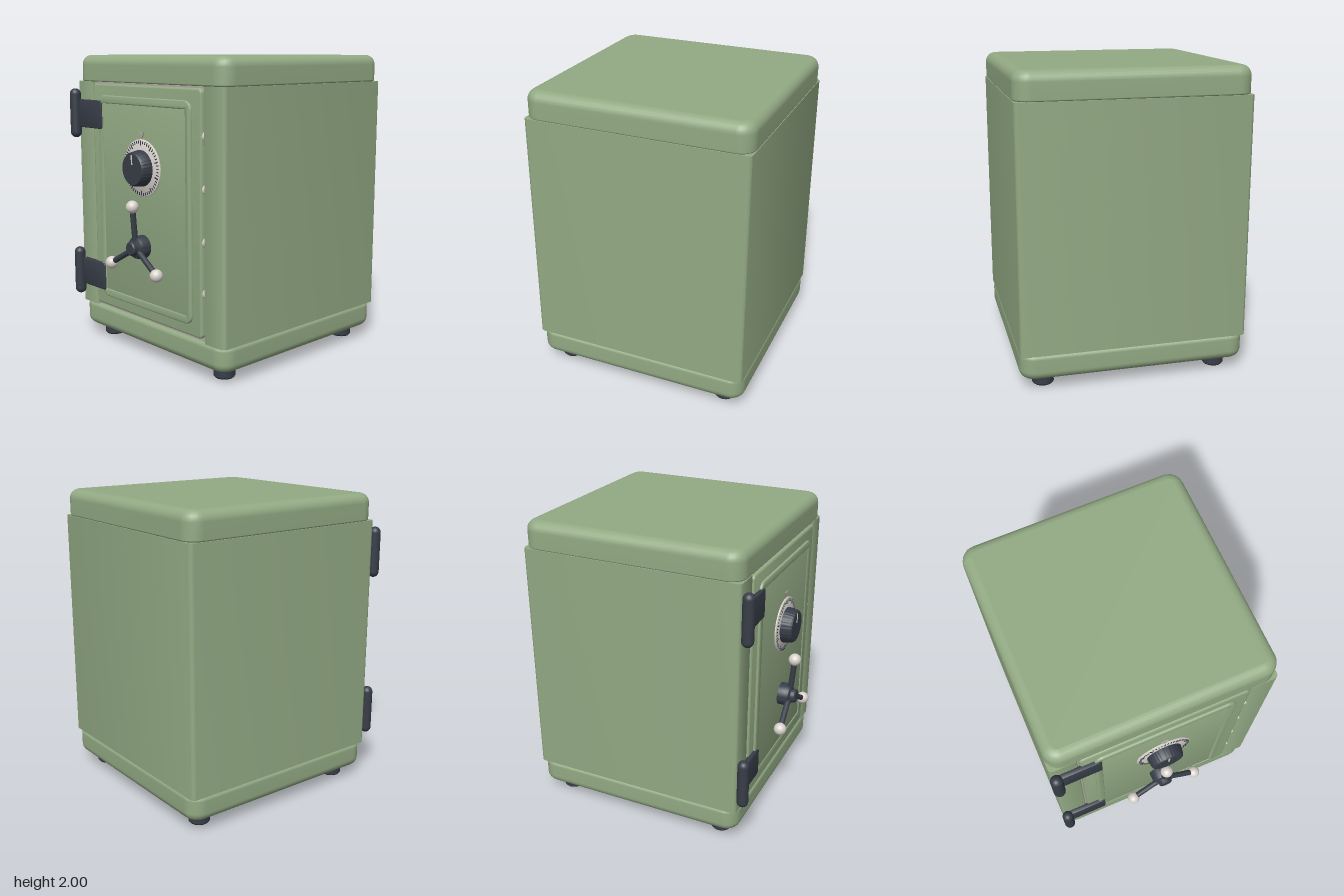
import * as THREE from 'three';
import { toCreasedNormals } from 'three/addons/utils/BufferGeometryUtils.js';
import { RoundedBoxGeometry } from 'three/addons/geometries/RoundedBoxGeometry.js';

const mat = (name, color) => {
  const m = new THREE.MeshStandardMaterial({ color });
  m.name = name;
  return m;
};

// Rounded rectangle, as a Shape or as a hole Path
function roundRect(cx, cy, w, h, r, Type = THREE.Shape) {
  const p = new Type(), x = w / 2 - r, y = h / 2 - r;
  p.absarc(cx + x, cy + y, r, 0, Math.PI / 2);
  p.absarc(cx - x, cy + y, r, Math.PI / 2, Math.PI);
  p.absarc(cx - x, cy - y, r, Math.PI, Math.PI * 1.5);
  p.absarc(cx + x, cy - y, r, Math.PI * 1.5, Math.PI * 2);
  p.closePath();
  return p;
}

// Horizontal slab with rounded vertical corners and different top and bottom edge radii
function slab(half, cz, y0, y1, corner, rBottom, rTop) {
  const profile = [], n = 7, steps = 6;
  for (let k = 0; k <= steps; k++) {
    const a = (k / steps) * Math.PI / 2;
    profile.push([rBottom * (1 - Math.sin(a)), y0 + rBottom * (1 - Math.cos(a))]);
  }
  for (let k = 0; k <= steps; k++) {
    const a = (k / steps) * Math.PI / 2;
    profile.push([rTop * (1 - Math.cos(a)), y1 - rTop * (1 - Math.sin(a))]);
  }
  // the end rings are repeated so that the flat caps stay flat
  const rings = [profile[0], ...profile, profile[profile.length - 1]];
  const pos = [], idx = [], count = 4 * n;
  for (const [inset, y] of rings) {
    for (let j = 0; j < count; j++) {
      const q = Math.floor(j / n), a = (q + (j % n) / (n - 1)) * Math.PI / 2;
      const sx = q === 0 || q === 3 ? 1 : -1, sz = q < 2 ? -1 : 1, r = corner - inset;
      pos.push(sx * (half - corner) + r * Math.cos(a), y, cz + sz * (half - corner) - r * Math.sin(a));
    }
  }
  for (let i = 1; i < rings.length - 2; i++) {
    for (let j = 0; j < count; j++) {
      const a = i * count + j, b = i * count + (j + 1) % count;
      idx.push(a, b, b + count, a, b + count, a + count);
    }
  }
  const top = (rings.length - 1) * count;
  for (let j = 1; j < count - 1; j++) idx.push(top, top + j, top + j + 1, 0, j + 1, j);
  const g = new THREE.BufferGeometry();
  g.setAttribute('position', new THREE.Float32BufferAttribute(pos, 3));
  g.setIndex(idx);
  g.computeVertexNormals();
  return g;
}

// Turned part whose axis points to the front
const turned = (pts, segments = 48) => toCreasedNormals(
  new THREE.LatheGeometry(pts.map(p => new THREE.Vector2(...p)), segments).rotateX(Math.PI / 2), 0.6);

// Plate lying in the front plane from z0 to z1, with a softened edge
function plate(shape, z0, z1, bevel) {
  const g = new THREE.ExtrudeGeometry(shape, {
    depth: z1 - z0 - 2 * bevel, bevelEnabled: bevel > 0, bevelSize: bevel,
    bevelThickness: bevel, bevelOffset: -bevel, bevelSegments: 4, curveSegments: 8,
  });
  return toCreasedNormals(g.translate(0, 0, z0 + bevel), 0.6);
}

export function createModel() {
  const green = mat('sage green', 0x93aa84);
  const dark = mat('dark slate', 0x373d48);
  const ivory = mat('ivory', 0xd8d2cb);
  const steel = mat('steel', 0xb3aaa3);

  const safe = new THREE.Group();
  safe.name = 'safe';
  safe.position.x = 0.004;
  const add = (name, geometry, material, x = 0, y = 0, z = 0, parent = safe) => {
    const m = new THREE.Mesh(geometry, material);
    m.name = name;
    m.position.set(x, y, z);
    parent.add(m);
    return m;
  };
  const group = (name, x = 0, y = 0, z = 0) => {
    const g = new THREE.Group();
    g.name = name;
    g.position.set(x, y, z);
    safe.add(g);
    return g;
  };

  // Cabinet: U-shaped plan with a door recess at the front
  const H = 0.741, CZ = -0.073, R = 0.03, front = CZ + H, s = 0.012;
  const plan = new THREE.Shape();
  plan.absarc(H - R, -CZ + H - R, R, 0, Math.PI / 2);
  plan.absarc(-H + R, -CZ + H - R, R, Math.PI / 2, Math.PI);
  plan.absarc(-H + R, -front + R, R, Math.PI, Math.PI * 1.5);
  plan.absarc(-0.565 - s, -front + s, s, Math.PI * 1.5, Math.PI * 2);
  plan.lineTo(-0.565, -0.6);
  plan.lineTo(0.565, -0.6);
  plan.absarc(0.565 + s, -front + s, s, Math.PI, Math.PI * 1.5);
  plan.absarc(H - R, -front + R, R, Math.PI * 1.5, Math.PI * 2);
  const cabinet = new THREE.ExtrudeGeometry(plan, { depth: 1.575, bevelEnabled: false, curveSegments: 8 });
  add('cabinet', toCreasedNormals(cabinet.rotateX(-Math.PI / 2), 0.6), green, 0, 0.247, 0);
  add('topCap', slab(H, CZ, 1.822, 2, 0.1, 0.01, 0.065), green);
  add('base', slab(H, CZ, 0.078, 0.25, 0.1, 0.06, 0.03), green);

  // Feet
  for (const x of [-0.58, 0.58]) for (const z of [0.51, -0.655]) {
    const foot = new THREE.LatheGeometry([[0, 0], [0.062, 0], [0.07, 0.01], [0.07, 0.09]]
      .map(p => new THREE.Vector2(...p)), 28);
    add('foot', toCreasedNormals(foot, 0.6), dark, x, 0, z);
  }

  // Door with its liner, raised border and locking bolts
  add('doorLiner', new THREE.BoxGeometry(1.13, 1.57, 0.05), steel, 0, 1.035, 0.62);
  add('door', plate(roundRect(0, 1.04, 1.106, 1.54, 0.03), 0.62, 0.675, 0.014), green);
  const border = roundRect(0, 1.04, 0.94, 1.39, 0.06);
  border.holes.push(roundRect(0, 1.04, 0.838, 1.284, 0.004, THREE.Path));
  add('doorBorder', plate(border, 0.66, 0.69, 0.008), green);
  add('doorPanel', plate(roundRect(0, 1.04, 0.846, 1.29, 0.004), 0.66, 0.685, 0.003), green);
  for (const y of [0.56, 0.88, 1.205, 1.525]) {
    add('lockBolt', new THREE.CylinderGeometry(0.034, 0.034, 0.05, 20).rotateZ(Math.PI / 2), ivory, 0.545, y, 0.635);
  }

  // Hinges
  for (const y of [0.478, 1.602]) {
    const hinge = group('hinge', 0, y, 0);
    add('hingePin', new THREE.CapsuleGeometry(0.038, 0.264, 8, 24), dark, -0.716, 0, 0.706, hinge);
    add('hingeLeaf', plate(roundRect(-0.56, 0, 0.27, 0.19, 0.02), 0.665, 0.7, 0.006), dark, 0, 0, 0, hinge);
  }

  // Combination dial
  const dial = group('dial', 0, 1.285, 0.685);
  add('dialRing', turned([[0, 0], [0.186, 0], [0.186, 0.007], [0.18, 0.011], [0, 0.011]], 64), ivory, 0, 0, 0, dial);
  for (let i = 0; i < 50; i++) {
    const len = i % 5 ? 0.02 : 0.032, a = (i / 50) * Math.PI * 2, r = 0.178 - len / 2;
    const tick = add('dialTick', new THREE.BoxGeometry(i % 5 ? 0.006 : 0.008, len, 0.004), dark,
      r * Math.sin(a), r * Math.cos(a), 0.0115, dial);
    tick.rotation.z = -a;
  }
  const knob = new THREE.LatheGeometry([[0.117, 0], [0.117, 0.02], [0.108, 0.075], [0.1, 0.086], [0, 0.086]]
    .map(p => new THREE.Vector2(...p)), 128).rotateX(Math.PI / 2);
  const kp = knob.attributes.position;
  for (let i = 0; i < kp.count; i++) {
    // finger ridges around the rim
    const x = kp.getX(i), y = kp.getY(i);
    if (Math.hypot(x, y) < 0.104) continue;
    const f = 1 + 0.012 * Math.cos(32 * Math.atan2(y, x));
    kp.setXY(i, x * f, y * f);
  }
  add('dialKnob', toCreasedNormals(knob, 0.6), dark, 0, 0, 0, dial);
  add('knobMark', new THREE.BoxGeometry(0.011, 0.065, 0.006), ivory, 0, 0.06, 0.086, dial);
  const arrow = new THREE.Shape([[-0.024, 0.018], [0, -0.022], [0.024, 0.018]].map(p => new THREE.Vector2(...p)));
  add('dialPointer', plate(arrow, 0, 0.008, 0), steel, 0, 0.212, -0.002, dial);

  // Three-spoke handle
  const handle = group('handle', 0, 0.77, 0.683);
  add('handleHub', turned([[0.076, 0], [0.076, 0.055], [0.068, 0.075], [0.048, 0.085], [0.046, 0.11], [0.038, 0.118], [0, 0.118]]),
    dark, 0, 0, 0, handle);
  for (let i = 0; i < 3; i++) {
    const spoke = new THREE.Group();
    spoke.name = 'handleSpoke';
    spoke.rotation.z = (i / 3) * Math.PI * 2;
    handle.add(spoke);
    const path = new THREE.LineCurve3(new THREE.Vector3(0, 0.03, 0.07), new THREE.Vector3(0, 0.27, 0.09));
    add('spokeRod', new THREE.TubeGeometry(path, 1, 0.019, 16), dark, 0, 0, 0, spoke);
    add('spokeBall', new THREE.SphereGeometry(0.042, 28, 18), ivory, 0, 0.272, 0.09, spoke);
  }
  return safe;
}
